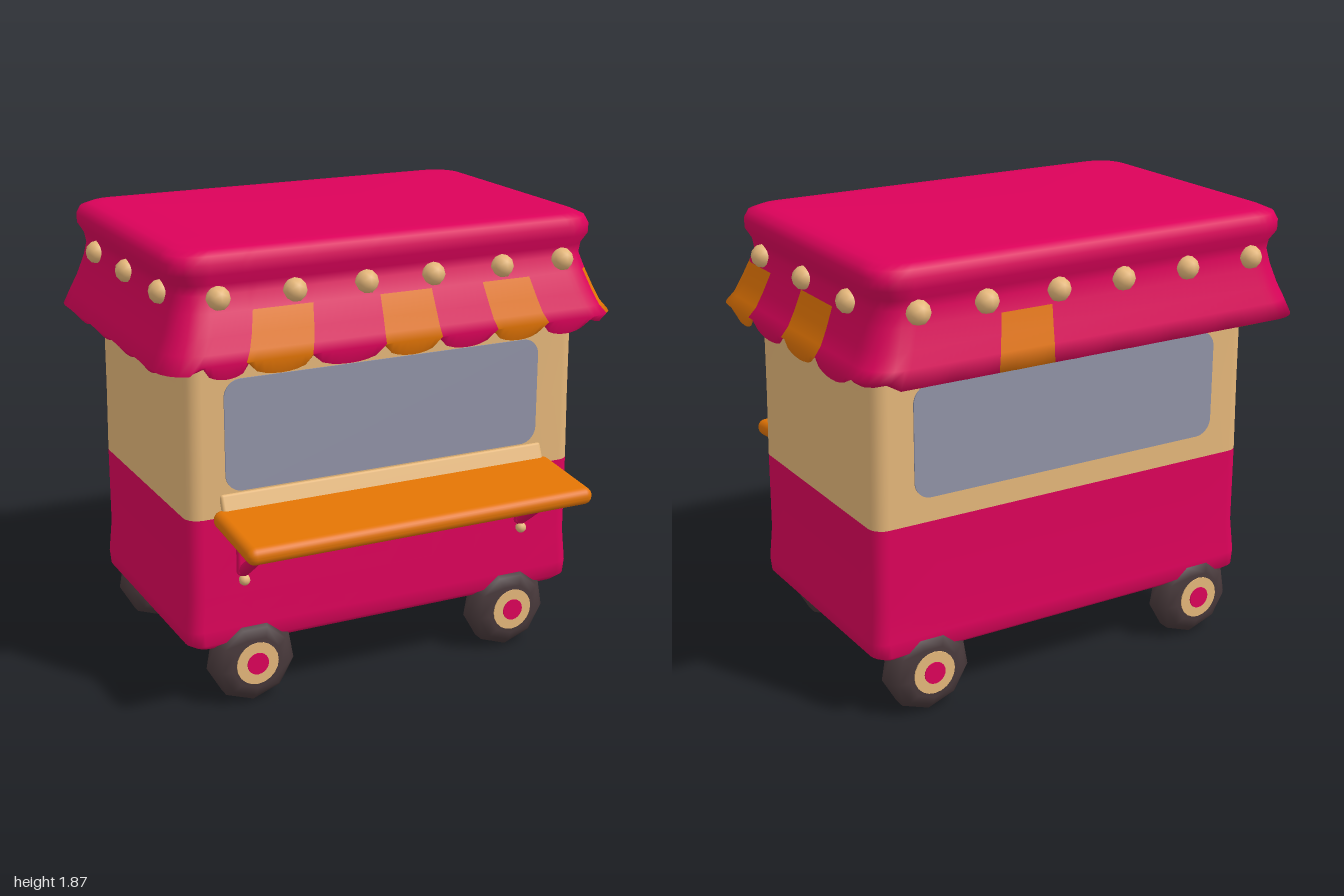
import * as THREE from 'three';
import { RoundedBoxGeometry } from 'three/addons/geometries/RoundedBoxGeometry.js';

const mat = (name, color, side = THREE.FrontSide) => {
  const m = new THREE.MeshStandardMaterial({ color, side });
  m.name = name;
  return m;
};

// Rounded rectangle in -1..1, running front, left, back, right. Each side is cut at the
// given breaks; a segment keeps its panel number, and drop is the scallop depth (0..1).
function outline(hw, zf, zb, r, sides) {
  const cols = [], hd = (zf - zb) / 2, cz = (zf + zb) / 2;
  const steps = 8, arc = 5;
  sides.forEach((breaks, s) => {
    const alongX = s % 2 === 0, sign = s < 2 ? 1 : -1;
    for (let p = 0; p < breaks.length - 1; p++) {
      for (let k = 0; k < steps; k++) {
        const u = k / steps;
        const v = THREE.MathUtils.lerp(breaks[p], breaks[p + 1], u);
        cols.push({
          x: alongX ? v / hw : sign, z: alongX ? sign : (v - cz) / hd,
          side: s, panel: p, drop: Math.sqrt(1 - (2 * u - 1) ** 2),
        });
      }
    }
    // corner after this side
    const cornerX = s < 2 ? hw - r : r - hw;
    const cornerZ = s === 0 || s === 3 ? hd - r : r - hd;
    for (let k = 0; k < arc; k++) {
      const a = Math.PI / 2 * (1 - s - k / arc);
      cols.push({
        x: (cornerX + r * Math.cos(a)) / hw, z: (cornerZ + r * Math.sin(a)) / hd,
        side: s, panel: -1 - k, drop: 0.5 * Math.sin(Math.PI * k / arc),
      });
    }
  });
  return cols;
}

// Surface through levels [y, halfWidth, zFront, zBack]; paint(col, row) picks a material index.
function loft(cols, levels, materials, paint, yRule = (y) => y) {
  const pos = [], lists = materials.map(() => []), n = cols.length;
  levels.forEach(([y, hw, zf, zb], j) => cols.forEach((c) => {
    pos.push(c.x * hw, yRule(y, c, j), (zf + zb) / 2 + c.z * (zf - zb) / 2);
  }));
  for (let j = 0; j < levels.length - 1; j++) {
    for (let i = 0; i < n; i++) {
      const a = j * n + i, b = j * n + (i + 1) % n;
      lists[paint(cols[i], j)].push(a, b, b + n, a, b + n, a + n);
    }
  }
  const g = new THREE.BufferGeometry();
  g.setAttribute('position', new THREE.Float32BufferAttribute(pos, 3));
  g.setIndex(lists.flat());
  let start = 0;
  lists.forEach((l, i) => { g.addGroup(start, l.length, i); start += l.length; });
  g.computeVertexNormals();
  return new THREE.Mesh(g, materials);
}

function roundedPlate(w, h, r, depth) {
  const s = new THREE.Shape(), x = w / 2, y = h / 2;
  s.absarc(x - r, y - r, r, 0, Math.PI / 2);
  s.absarc(r - x, y - r, r, Math.PI / 2, Math.PI);
  s.absarc(r - x, r - y, r, Math.PI, Math.PI * 1.5);
  s.absarc(x - r, r - y, r, Math.PI * 1.5, Math.PI * 2);
  return new THREE.ExtrudeGeometry(s, { depth, bevelEnabled: false, curveSegments: 6 });
}

const tube = (pts, r) => new THREE.TubeGeometry(
  new THREE.CatmullRomCurve3(pts.map((p) => new THREE.Vector3(...p))), 12, r, 8);

export function createModel() {
  const root = new THREE.Group();
  root.name = 'foodCart';
  const pink = mat('pink', 0xdc025a);
  const cloth = mat('pinkCloth', 0xdc025a, THREE.DoubleSide);
  const orange = mat('orange', 0xe27404, THREE.DoubleSide);
  const cream = mat('cream', 0xe5b77a);
  const glass = mat('glass', 0x9193a7);
  const rubber = mat('rubber', 0x48393b);
  const copper = mat('copper', 0xbd6c44);
  const darkWood = mat('darkWood', 0x4a3a2c);

  const add = (name, geometry, material, x = 0, y = 0, z = 0, parent = root) => {
    const m = new THREE.Mesh(geometry, material);
    m.name = name;
    m.position.set(x, y, z);
    parent.add(m);
    return m;
  };

  // Body: pink below, cream above
  const bodyCols = outline(0.86, 0.43, -0.58, 0.06,
    [[-0.8, 0.8], [0.37, -0.52], [0.8, -0.8], [-0.52, 0.37]]);
  const body = loft(bodyCols, [
    [0.25, 0, -0.07, -0.07], [0.25, 0.8, 0.37, -0.52], [0.255, 0.84, 0.41, -0.56],
    [0.28, 0.872, 0.435, -0.59], [0.34, 0.878, 0.437, -0.59], [0.48, 0.866, 0.43, -0.58],
    [0.81, 0.865, 0.43, -0.58], [1.1, 0.86, 0.43, -0.58], [1.6, 0.857, 0.43, -0.58],
  ], [pink, cream], (c, row) => (row < 6 ? 0 : 1));
  body.name = 'body';
  root.add(body);

  // Roof and draped awning; scallops tuck in below the hem, stripes are painted panels
  const roofCols = outline(0.985, 0.575, -0.795, 0.13, [
    [-0.855, -0.67, -0.4, -0.09, 0.155, 0.405, 0.64, 0.855],
    [0.445, 0.24, -0.07, -0.365, -0.665],
    [0.855, 0.66, 0.45, 0.21, -0.06, -0.33, -0.6, -0.855],
    [-0.665, -0.4, -0.1, 0.2, 0.445],
  ]);
  const isOrange = (c, row) =>
    (c.side === 0 && (c.panel === 1 || c.panel === 3 || c.panel === 5 || c.panel < -2)) ||
    (c.side === 1 && (c.panel === 0 || c.panel === 2)) ||
    (c.side === 2 && (c.panel === 2 || (row === 0 && (c.panel === 0 || c.panel === 6))));
  const roof = loft(roofCols, [
    [1.45, 0.962, 0.55, -0.71], [1.462, 0.985, 0.57, -0.79], [1.5, 0.955, 0.552, -0.775],
    [1.56, 0.928, 0.53, -0.757], [1.64, 0.9, 0.497, -0.738], [1.7, 0.888, 0.465, -0.725],
    [1.74, 0.895, 0.468, -0.73], [1.78, 0.917, 0.487, -0.752], [1.82, 0.918, 0.488, -0.752],
    [1.85, 0.905, 0.475, -0.74], [1.867, 0.87, 0.44, -0.705], [1.87, 0.82, 0.39, -0.655],
    [1.87, 0, -0.13, -0.13],
  ], [cloth, orange], (c, row) => (row < 4 && isOrange(c, row) ? 1 : 0), (y, c, row) => {
    if (row === 0) return y - 0.05 * c.drop;
    return row === 1 && c.side > 1 ? y - 0.03 : y;
  });
  roof.name = 'roofAwning';
  root.add(roof);

  // Round bulbs along the awning
  const bulb = new THREE.IcosahedronGeometry(0.048, 1);
  for (const x of [-0.74, -0.43, -0.13, 0.16, 0.47, 0.75]) {
    add('frontBulb', bulb, cream, x, 1.69, 0.473);
    add('backBulb', bulb, cream, x, 1.69, -0.73);
  }
  for (const z of [0.28, -0.1, -0.47]) {
    for (const s of [-1, 1]) add('sideBulb', bulb, cream, s * 0.893, 1.69, z);
  }

  // Windows
  const pane = roundedPlate(1.39, 0.45, 0.07, 0.008);
  add('frontWindow', pane, glass, -0.015, 1.135, 0.427);
  add('backWindow', pane, glass, 0, 1.135, -0.577).rotation.y = Math.PI;

  // Serving shelf with sloped sill and braces
  add('windowSill', new RoundedBoxGeometry(1.44, 0.09, 0.03, 2, 0.012), cream,
    -0.015, 0.86, 0.442).rotation.x = -0.4;
  add('shelf', new RoundedBoxGeometry(1.51, 0.072, 0.38, 3, 0.034), orange,
    -0.015, 0.795, 0.612).rotation.x = 0.1;
  const brace = tube([[0, 0.57, 0.43], [0, 0.63, 0.51], [0, 0.7, 0.6], [0, 0.76, 0.68]], 0.024);
  for (const x of [-0.645, 0.62]) {
    add('shelfBrace', brace, pink, x, 0, 0);
    add('braceMount', new RoundedBoxGeometry(0.055, 0.2, 0.03, 2, 0.012), pink, x, 0.66, 0.435);
    add('braceBolt', new THREE.SphereGeometry(0.023, 10, 8), cream, x, 0.54, 0.445);
  }

  // Chunky wheels; the profile is turned around z
  const tyre = new THREE.LatheGeometry(
    [[0, -0.07], [0.11, -0.077], [0.15, -0.06], [0.182, -0.025], [0.182, 0.025],
      [0.15, 0.06], [0.11, 0.077], [0, 0.077]].map((p) => new THREE.Vector2(...p)), 9);
  tyre.rotateX(Math.PI / 2);
  const disc = (r, d) => new THREE.CylinderGeometry(r, r, d, 20).rotateX(Math.PI / 2);
  const wheel = (name, x, z, turn) => {
    const w = new THREE.Group();
    w.name = name;
    w.position.set(x, 0.18, z);
    w.rotation.y = turn;
    add('tyre', tyre, rubber, 0, 0, 0, w);
    add('hubRing', disc(0.09, 0.008), cream, 0, 0, 0.077, w);
    add('hubCap', disc(0.046, 0.008), pink, 0, 0, 0.081, w);
    add('innerHub', disc(0.09, 0.008), copper, 0, 0, -0.075, w);
    root.add(w);
  };
  for (const [front, back] of [[-0.605, -0.655], [0.575, 0.635]]) {
    wheel('frontWheel', front, 0.39, 0);
    wheel('backWheel', back, -0.53, Math.PI);
    // Arched axle
    const mid = (front + back) / 2;
    add('axle', tube([[front, 0.165, 0.34], [front, 0.185, 0.2], [mid, 0.218, -0.07],
      [back, 0.185, -0.34], [back, 0.165, -0.48]], 0.028), copper);
    add('axleClamp', new THREE.SphereGeometry(0.036, 10, 8), pink, mid, 0.212, 0);
  }

  // Chassis rail under the floor
  add('chassisRail', tube([[-0.63, 0.222, -0.07], [-0.4, 0.225, 0], [0, 0.228, 0.04],
    [0.4, 0.225, 0], [0.61, 0.222, -0.07]], 0.036), darkWood);
  return root;
}
